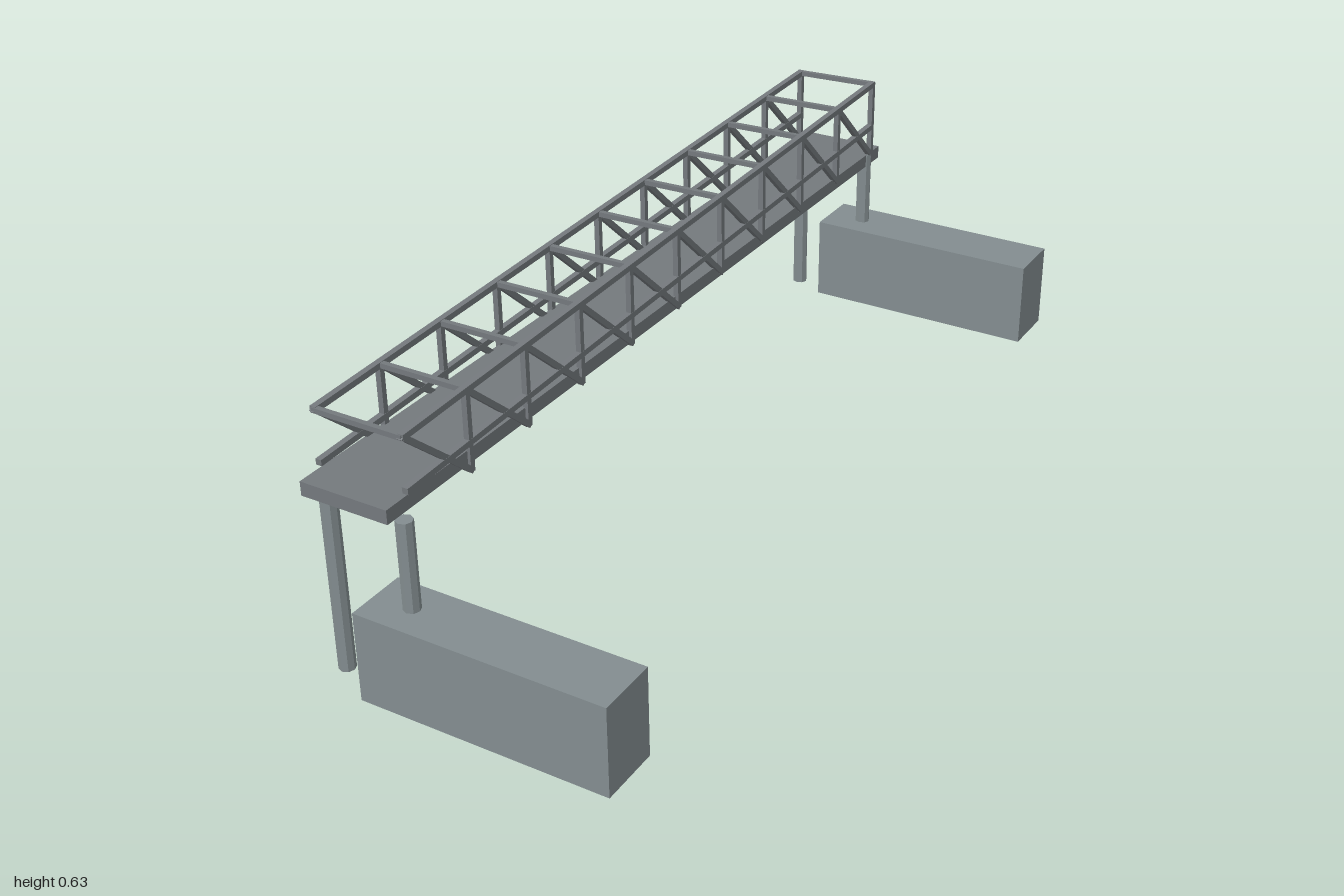
import * as THREE from 'three';

const concrete = new THREE.MeshStandardMaterial({ color: 0x838d90, flatShading: true });
const steel = new THREE.MeshStandardMaterial({ color: 0x74797d, flatShading: true });

function add(parent, name, geometry, material, x, y, z) {
  const mesh = new THREE.Mesh(geometry, material);
  mesh.name = name;
  mesh.position.set(x, y, z);
  parent.add(mesh);
  return mesh;
}

// Square steel bar running between two points
function bar(parent, name, a, b, size = 0.012) {
  const mid = a.clone().add(b).multiplyScalar(0.5);
  const geometry = new THREE.BoxGeometry(size, size, a.distanceTo(b) + size * 0.5);
  add(parent, name, geometry, steel, mid.x, mid.y, mid.z).lookAt(b);
}

export function createModel() {
  const model = new THREE.Group();
  model.name = 'footbridge';

  // The whole bridge is turned slightly off the z axis
  const bridge = new THREE.Group();
  bridge.name = 'bridge';

  add(bridge, 'deck', new THREE.BoxGeometry(0.195, 0.03, 1.948), steel, 0, 0.428, 0);

  // Abutment blocks and their pairs of piers, the rear set higher
  for (const [end, z, base, pierBase] of [['front', 0.917, 0, 0], ['rear', -0.917, 0.065, 0.0525]]) {
    add(bridge, end + 'Abutment', new THREE.BoxGeometry(0.55, 0.197, 0.133), concrete, 0.276, base + 0.0985, z);
    for (const side of [-1, 1]) {
      add(bridge, end + 'Pier', new THREE.CylinderGeometry(0.0175, 0.0175, 0.39, 8), concrete, side * 0.087, pierBase + 0.195, z);
    }
  }

  // Truss nodes rise steadily towards the rear, the left side a little less
  const bays = 10;
  const point = (side, i, y) => new THREE.Vector3(side * 0.098, y, 0.917 - 0.1839 * i);
  const top = (side, i) => point(side, i, 0.563 + (side > 0 ? 0.006 : 0.0054) * i);
  const rail = (side, i) => point(side, i, 0.454 + (side > 0 ? 0.006 : 0.0054) * i);
  const foot = (side, i) => point(side, i, 0.4 + 0.0045 * (i - 1));

  for (const side of [-1, 1]) {
    const truss = new THREE.Group();
    truss.name = side > 0 ? 'leftTruss' : 'rightTruss';
    bar(truss, 'topChord', top(side, 0), top(side, bays), 0.013);
    bar(truss, 'handrail', rail(side, 0), rail(side, bays), 0.013);
    for (let i = 1; i <= bays; i++) {
      bar(truss, 'upright', foot(side, i), top(side, i));
      bar(truss, 'diagonal', top(side, i - 1), foot(side, i));
    }
    bridge.add(truss);
  }

  // Overhead cross bars
  for (let i = 0; i <= bays; i++) bar(bridge, 'crossBar', top(-1, i), top(1, i), 0.011);

  bridge.position.set(-0.225, 0, -0.02);
  bridge.rotation.y = -0.07;
  model.add(bridge);
  return model;
}
